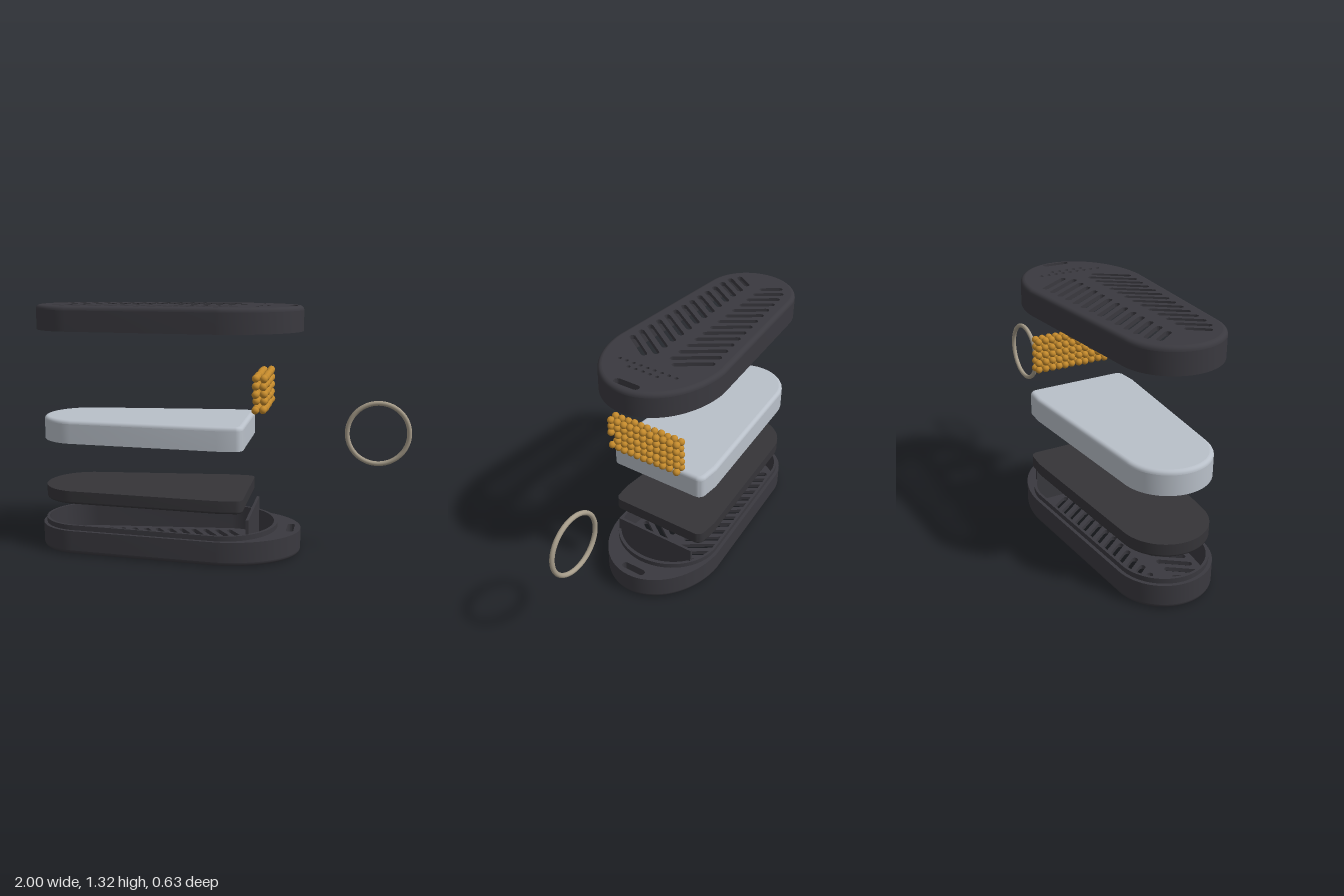
import * as THREE from 'three';
import { toCreasedNormals } from 'three/addons/utils/BufferGeometryUtils.js';

const material = (name, color) => Object.assign(new THREE.MeshStandardMaterial({ color }), { name });
const V = (x, y) => new THREE.Vector2(x, y);

function arc(cx, cy, rx, ry, from, to, n) {
  return Array.from({ length: n + 1 }, (_, i) => {
    const a = THREE.MathUtils.degToRad(from + (to - from) * i / n);
    return V(cx + rx * Math.cos(a), cy + ry * Math.sin(a));
  });
}

// Close a half outline (right end to left end) by mirroring it across the x axis
const mirror = half => [...half, ...half.slice(1, -1).reverse().map(p => V(p.x, -p.y))];
const noseArc = inset => arc(-0.75, 0, 0.25 - inset, 0.25 - inset, 95, 180, 18);

// Tapered case outline: round nose, straight flanks, elliptical wide end
const caseOutline = (inset = 0, end = 0.43 - inset) =>
  mirror([...arc(0.02, 0, end - 0.02, 0.315 - inset, 0, 90, 24), ...noseArc(inset)]);

// Same taper, cut off straight with rounded corners
const padOutline = (inset = 0) => mirror([
  V(0.15 - inset, 0), ...arc(0.11, 0.243, 0.04 - inset, 0.04 - inset, 0, 82, 6),
  V(0.02, 0.29 - inset), ...noseArc(inset + 0.025)]);

function capsule(a, b, r) {
  const t = Math.atan2(b.y - a.y, b.x - a.x), h = Math.PI / 2;
  const p = new THREE.Path();
  p.absarc(b.x, b.y, r, t - h, t + h, false);
  p.absarc(a.x, a.y, r, t + h, t + 3 * h, false);
  return p;
}

// Horizontal plate from y0 to y1 with holes
function plate(points, holes, y0, y1) {
  const shape = new THREE.Shape(points);
  shape.holes = holes;
  const g = new THREE.ExtrudeGeometry(shape, { depth: y1 - y0, bevelEnabled: false, curveSegments: 6 });
  g.rotateX(-Math.PI / 2).translate(0, y0, 0);
  return toCreasedNormals(g, 0.6);
}

// Quarter-round lower edge, from inset r at y = 0 to the full outline at y = r
function roundedEdge(outline, r) {
  const steps = 5, pos = [], index = [], n = outline(0).length;
  for (let k = 0; k <= steps; k++) {
    const a = k / steps * Math.PI / 2;
    for (const p of outline(r * (1 - Math.sin(a)))) pos.push(p.x, r * (1 - Math.cos(a)), -p.y);
  }
  for (let k = 0; k < steps; k++) for (let i = 0; i < n; i++) {
    const a = k * n + i, b = k * n + (i + 1) % n;
    index.push(a, b, b + n, a, b + n, a + n);
  }
  const g = new THREE.BufferGeometry();
  g.setAttribute('position', new THREE.Float32BufferAttribute(pos, 3));
  g.setIndex(index);
  g.computeVertexNormals();
  return g;
}

function add(parent, name, geometry, mat) {
  const m = new THREE.Mesh(geometry, mat);
  m.name = name;
  parent.add(m);
  return m;
}

// Slab with a rounded lower edge; separate holes for its floor and its wall
function slab(name, outline, h, r, mat, floorHoles = [], wallHoles = []) {
  const g = new THREE.Group();
  g.name = name;
  add(g, name + 'Floor', plate(outline(r), floorHoles, 0, r), mat);
  add(g, name + 'Edge', roundedEdge(outline, r), mat);
  add(g, name + 'Wall', plate(outline(0), wallHoles, r, h), mat);
  return g;
}

// Turn a slab over so that its rounded edge is on top at height y
function flip(group, y) {
  group.rotation.x = Math.PI;
  group.position.y = y;
  return group;
}

const keySlot = () => capsule(V(0.376, -0.052), V(0.376, 0.052), 0.02);

// Chevron vents, round vents and key slot
function ventHoles() {
  const holes = [keySlot()];
  const inside = (x, z) => x < -0.772 ? Math.hypot(x + 0.75, z) < 0.17
    : z < (x < 0.02 ? 0.315 + (x - 0.02) * 0.083 : 0.315) - 0.08;
  for (let i = 0; i < 14; i++) {
    const at = t => V(-0.81 + i * 0.073 - 0.58 * t, 0.05 + 0.81 * t);
    let t0 = 0, t1;
    while (at(t0).x > 0.11) t0 += 0.002;
    for (t1 = t0; inside(at(t1).x, at(t1).y);) t1 += 0.002;
    const a = at(t0), b = at(t1);
    holes.push(capsule(a, b, 0.016), capsule(V(a.x, -a.y), V(b.x, -b.y), 0.016));
  }
  for (const [x, n] of [[0.207, 4], [0.247, 2]])
    for (let k = -n; k <= n; k++) {
      const p = new THREE.Path();
      p.absarc(x, k * 0.041, 0.01, 0, Math.PI * 2, false);
      holes.push(p);
    }
  return holes;
}

export function createModel() {
  const shell = material('charcoal shell', 0x3a393f);
  const felt = material('dark filter', 0x353438);
  const pale = material('pale grey block', 0xb9c0c9);
  const gold = material('amber beads', 0xc48a2c);
  const metal = material('warm metal', 0xa69c8a);
  const model = new THREE.Group();
  model.name = 'explodedCase';

  // Lower tray with locating lip and divider
  const cavity = () => new THREE.Path(caseOutline(0.032, 0.285));
  const tray = slab('tray', caseOutline, 0.13, 0.022, shell, ventHoles(), [cavity(), keySlot()]);
  add(tray, 'lip', plate(caseOutline(0.018, 0.305), [cavity()], 0.13, 0.157), shell);
  add(tray, 'divider', new THREE.BoxGeometry(0.015, 0.212, 0.48), shell).position.set(0.171, 0.126, 0);

  // Upper lid
  const lidCavity = new THREE.Path(caseOutline(0.02, 0.31));
  const lid = flip(slab('lid', caseOutline, 0.13, 0.022, shell, ventHoles(), [lidCavity, keySlot()]), 1.32);

  // Filter pad and block
  const pad = slab('filterPad', padOutline, 0.07, 0.012, felt);
  pad.position.y = 0.272;
  const block = flip(slab('block', padOutline, 0.125, 0.02, pale), 0.725);
  model.add(tray, lid, pad, block);

  // Slightly uneven grid of beads
  const beads = new THREE.Group();
  beads.name = 'beads';
  let seed = 7;
  const jitter = () => ((seed = (seed * 16807) % 2147483647) / 2147483647 - 0.5) * 0.005;
  const ball = new THREE.SphereGeometry(0.0195, 18, 12);
  for (let i = 0; i < 2; i++) for (let j = 0; j < 5; j++) for (let k = 0; k < 11; k++) {
    if (j === 1 && k === 10) continue;
    add(beads, 'bead', ball, gold).position.set(
      0.206 + i * 0.04 + jitter(), 0.803 + j * 0.04 + jitter(), -0.192 + k * 0.04 + jitter());
  }
  model.add(beads);

  // Carrying ring
  add(model, 'ring', new THREE.TorusGeometry(0.16, 0.0125, 16, 72), metal).position.set(0.826, 0.662, 0);
  return model;
}
